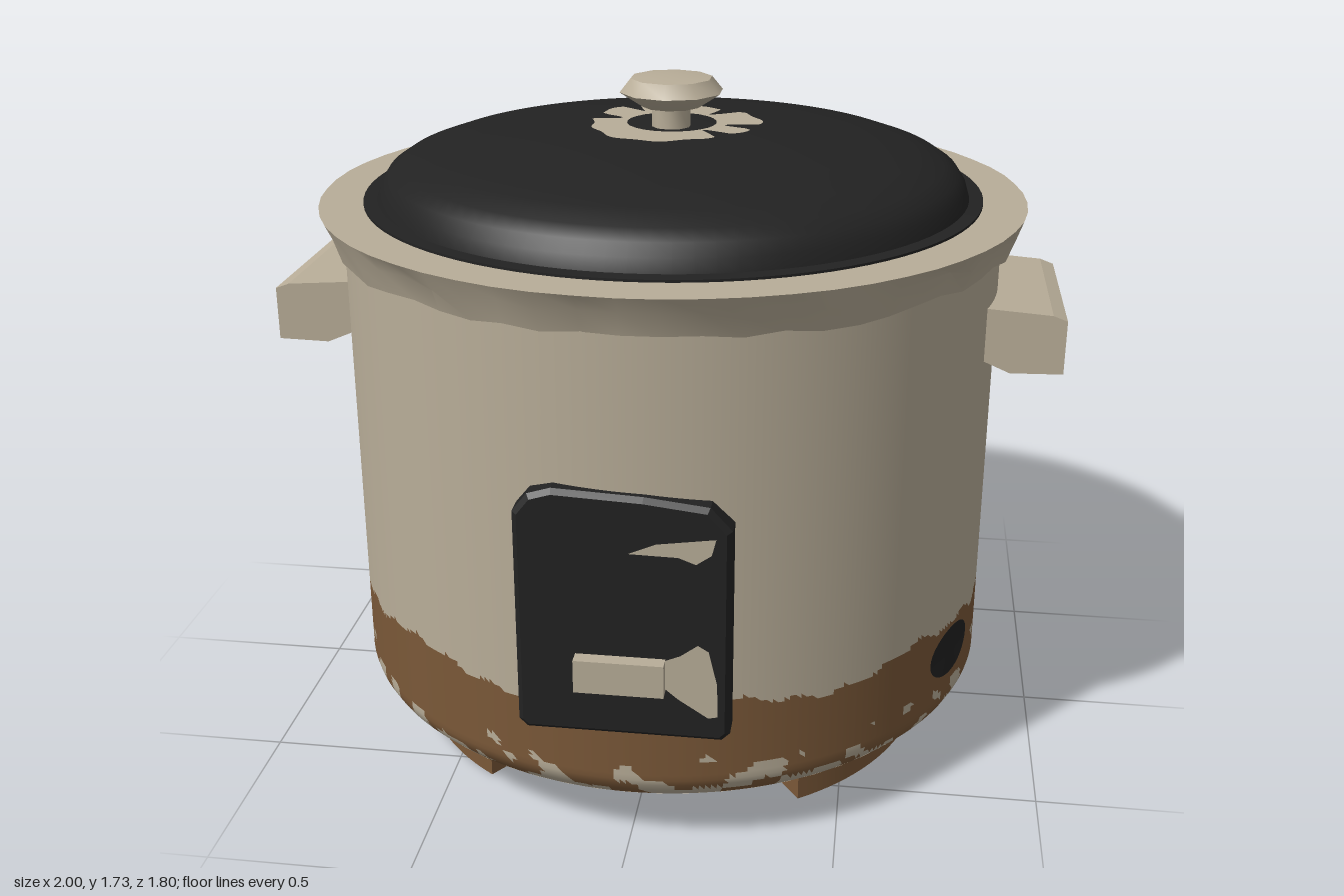
import * as THREE from 'three';
import { toCreasedNormals } from 'three/addons/utils/BufferGeometryUtils.js';

const mat = (name, color, side = THREE.FrontSide) =>
  Object.assign(new THREE.MeshStandardMaterial({ color, side }), { name });
const V = (pts) => pts.map(([x, y]) => new THREE.Vector2(x, y));

export function createModel() {
  const cream = mat('cream enamel', 0xb8ad98, THREE.DoubleSide);
  const rust = mat('rust brown', 0x7a5838);
  const black = mat('black', 0x222222);
  const model = new THREE.Group();
  model.name = 'riceCooker';
  const add = (name, geometry, material, x = 0, y = 0, z = 0) => {
    const m = new THREE.Mesh(geometry, material);
    m.name = name;
    m.position.set(x, y, z);
    model.add(m);
    return m;
  };
  const outline = (pts) => new THREE.Shape(V(pts));

  // Pot wall: fine rows near the bottom carry the rust band and its flaking
  const profile = [[0.795, 0.14], [0.81, 0.155], [0.825, 0.17], [0.836, 0.19], [0.84, 0.205]];
  for (let y = 0.22; y < 0.48; y += 0.012) profile.push([0.84, y]);
  profile.push([0.84, 1.42]);
  const wall = new THREE.LatheGeometry(V(profile), 360);
  const isRust = (a, y) => {
    const edge = 0.415 + 0.012 * Math.sin(7 * a + 1) + 0.01 * Math.sin(17 * a + 2 * Math.sin(5 * a))
      + 0.007 * Math.sin(41 * a) + 0.045 * Math.exp(-(((a - 2.13) / 0.03) ** 2));
    if (y > edge) return false;
    const flake = Math.sin(13 * a + 2 * Math.sin(4 * a) + 32 * y) + Math.sin(29 * a - 48 * y + 2 * Math.sin(7 * a))
      + 0.7 * Math.sin(47 * a + 60 * y) + 0.8 * Math.sin(70 * y + 3 * Math.sin(9 * a));
    const limit = y > 0.19 ? 0.15 + (y - 0.19) * 26 : 0.15 - (0.19 - y) * 12;
    return flake < limit;
  };
  const pos = wall.attributes.position, idx = wall.index.array, parts = [[], []];
  for (let i = 0; i < idx.length; i += 3) {
    const tri = [idx[i], idx[i + 1], idx[i + 2]];
    const mean = (get) => tri.reduce((s, k) => s + get(k), 0) / 3;
    const a = Math.atan2(mean((k) => pos.getX(k)), mean((k) => pos.getZ(k)));
    parts[isRust(a, mean((k) => pos.getY(k))) ? 1 : 0].push(...tri);
  }
  wall.setIndex([...parts[0], ...parts[1]]);
  wall.addGroup(0, parts[0].length, 0);
  wall.addGroup(parts[0].length, parts[1].length, 1);
  add('potWall', wall, [cream, rust]);

  // Underside with its dark ring
  const disc = (name, r, y, m) => { add(name, new THREE.CircleGeometry(r, 64), m, 0, y).rotation.x = Math.PI / 2; };
  disc('base', 0.796, 0.14, cream);
  disc('baseDarkRing', 0.243, 0.136, black);
  disc('baseCentre', 0.083, 0.132, cream);
  disc('baseDot', 0.012, 0.128, black);

  // Dark oval spot wrapped around the wall
  const spot = new THREE.CircleGeometry(1, 32), sp = spot.attributes.position;
  for (let i = 0; i < sp.count; i++) {
    const a = 1.14 + sp.getX(i) * 0.13;
    sp.setXYZ(i, 0.845 * Math.sin(a), 0.342 + sp.getY(i) * 0.067, 0.845 * Math.cos(a));
  }
  spot.computeVertexNormals();
  add('wallSpot', spot, black);

  // Flared rim with a dented lower lip
  const rim = new THREE.LatheGeometry(V([[0.835, 1.33], [0.855, 1.33], [0.875, 1.385], [0.9, 1.43], [0.77, 1.43]]), 60);
  const rp = rim.attributes.position;
  for (let i = 0; i < rp.count; i++) {
    const row = i % 5, a = (Math.floor(i / 5) % 60) / 60 * Math.PI * 2;
    const wob = Math.sin(11 * a + 2 * Math.sin(3 * a)) + 0.6 * Math.sin(23 * a + 1);
    const s = 1 + [0, 0.008, 0.007, 0.001, 0][row] * wob;
    rp.setXYZ(i, rp.getX(i) * s, rp.getY(i) + [0.004, 0.006, 0.012, 0, 0][row] * Math.sin(17 * a + wob), rp.getZ(i) * s);
  }
  add('rim', toCreasedNormals(rim, 0.4), cream, 0, 0, -0.005);

  // Domed lid
  add('lid', toCreasedNormals(new THREE.LatheGeometry(V([[0.79, 1.425], [0.79, 1.436], [0.755, 1.438], [0.745, 1.47],
    [0.725, 1.5], [0.69, 1.523], [0.62, 1.548], [0.5, 1.567], [0.35, 1.583], [0.2, 1.594], [0, 1.6]]), 96), 0.6),
  black, 0, 0, -0.01);

  // Notched plate under the knob
  const plate = new THREE.Shape();
  const notches = [[0.85, 0.1], [1.57, 0.14], [2.9, 0.12], [-0.15, 0.1], [-0.75, 0.1], [2.2, 0.06]];
  for (let i = 0; i <= 120; i++) {
    const a = i / 120 * Math.PI * 2;
    let r = 0.215 + 0.012 * Math.sin(3 * a + 1) + 0.006 * Math.sin(11 * a);
    for (const [c, w] of notches) {
      const d = Math.atan2(Math.sin(a - c), Math.cos(a - c));
      r -= 0.075 * Math.exp(-((d / w) ** 4));
    }
    plate[i ? 'lineTo' : 'moveTo'](r * Math.cos(a), r * Math.sin(a));
  }
  const hole = new THREE.Path();
  hole.absarc(0, 0, 0.115, 0, Math.PI * 2, true);
  plate.holes.push(hole);
  add('knobPlate', new THREE.ShapeGeometry(plate), cream, -0.005, 1.606, -0.02).rotation.x = -Math.PI / 2;

  // Knob
  add('knob', toCreasedNormals(new THREE.LatheGeometry(V([[0.05, 1.59], [0.05, 1.645], [0.075, 1.65], [0.133, 1.688],
    [0.105, 1.722], [0.06, 1.727], [0, 1.728]]), 10), 0.7), cream, -0.005, 0, -0.01);

  // Side handles
  const grip = outline([[0.8, 1.09], [0.87, 1.06], [1, 1.063], [1, 1.2], [0.965, 1.213], [0.8, 1.225]]);
  for (const side of [1, -1]) {
    const g = new THREE.ExtrudeGeometry(grip, { depth: 0.485, bevelEnabled: false });
    g.translate(0, 0, -0.2425);
    const h = add(side > 0 ? 'leftHandle' : 'rightHandle', g, cream, 0, 0, -0.005);
    if (side < 0) h.rotation.y = Math.PI;
  }

  // Control panel with worn patches and switch
  const panel = outline([[-0.25, 0.365], [-0.23, 0.345], [0.23, 0.345], [0.25, 0.365], [0.25, 0.885], [0.2, 0.94],
    [0.05, 0.957], [-0.16, 0.967], [-0.215, 0.95], [-0.25, 0.905]]);
  add('controlPanel', new THREE.ExtrudeGeometry(panel, { depth: 0.05, bevelSize: 0.012, bevelOffset: -0.012,
    bevelThickness: 0.012, bevelSegments: 1 }), black, 0, 0, 0.803);
  const patches = [
    [[0.015, 0.822], [0.08, 0.85], [0.215, 0.87], [0.205, 0.83], [0.17, 0.805], [0.13, 0.82]],
    [[0.1, 0.555], [0.135, 0.57], [0.175, 0.6], [0.2, 0.585], [0.22, 0.5], [0.222, 0.415], [0.2, 0.41], [0.13, 0.455], [0.1, 0.48]],
  ];
  for (const p of patches) add('panelWear', new THREE.ShapeGeometry(outline(p)), cream, 0, 0, 0.869);
  add('switch', new THREE.BoxGeometry(0.21, 0.083, 0.05), cream, -0.005, 0.515, 0.875);

  // Four curved feet, mirrored on both axes
  const rad = Math.PI / 180;
  for (const [sx, sz] of [[1, 1], [-1, 1], [1, -1], [-1, -1]]) {
    const mid = Math.atan2(sz * Math.sin(33.5 * rad), sx * Math.cos(33.5 * rad)), half = 21.5 * rad;
    const foot = new THREE.Shape();
    foot.absarc(0, 0, 0.695, mid - half, mid + half, false);
    foot.absarc(0, 0, 0.5, mid + half, mid - half, true);
    const g = new THREE.ExtrudeGeometry(foot, { depth: 0.139, bevelEnabled: false, curveSegments: 8 });
    g.rotateX(Math.PI / 2);
    add('foot', toCreasedNormals(g, 0.5), rust, 0, 0.139, 0);
  }
  return model;
}
